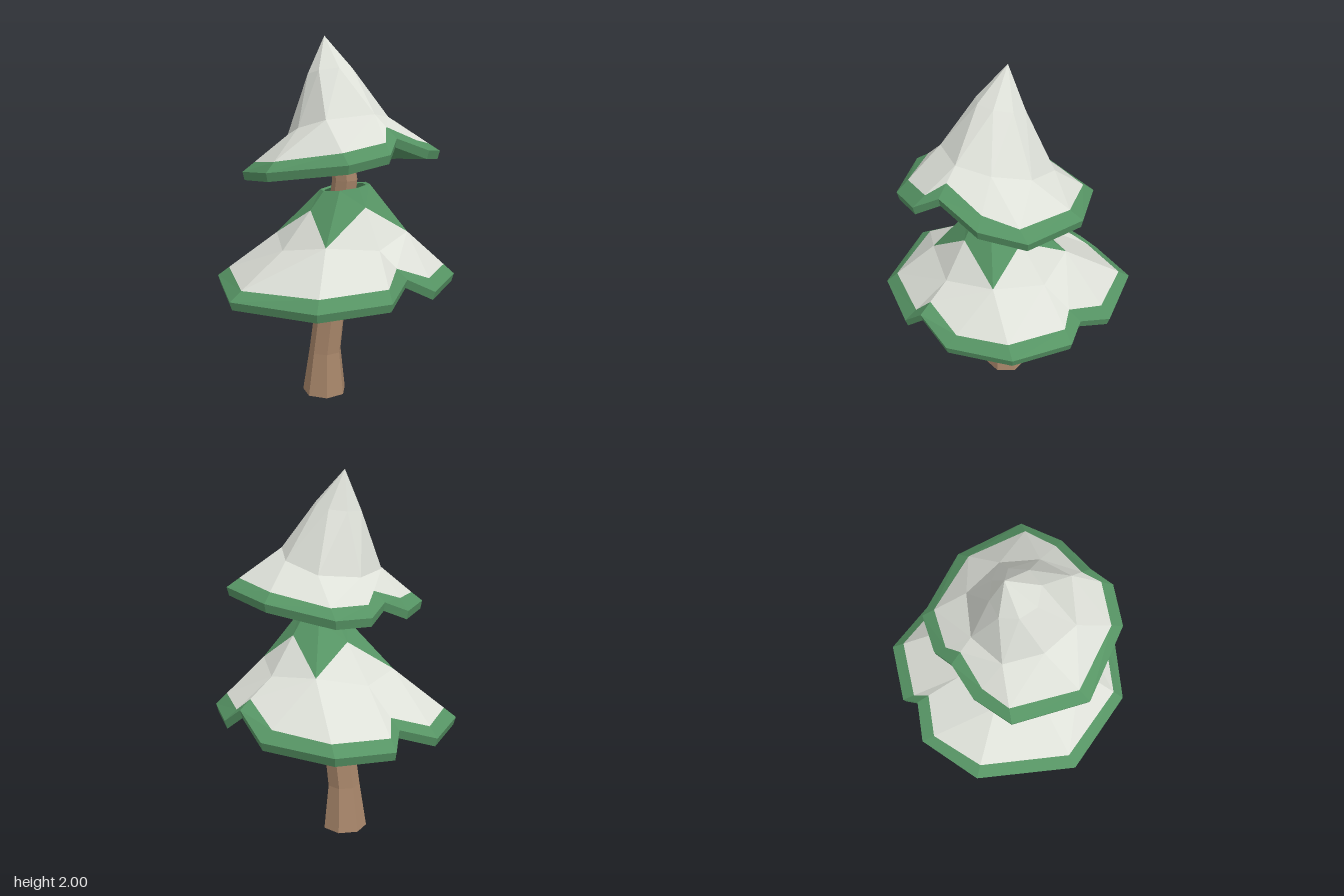
import * as THREE from 'three';

const V = (x, y, z) => new THREE.Vector3(x, y, z);
const mat = (name, color) => {
  const m = new THREE.MeshStandardMaterial({ color, flatShading: true });
  m.name = name;
  return m;
};

// Collects triangles, skipping collapsed ones
function triangles() {
  const pos = [];
  const tri = (a, b, c) => {
    const n = b.clone().sub(a).cross(c.clone().sub(a));
    if (n.length() < 1e-7) return;
    for (const p of [a, b, c]) pos.push(p.x, p.y, p.z);
  };
  // Closed strip between a lower/outer loop and an upper/inner loop
  const band = (lo, hi) => {
    for (let i = 0; i < lo.length; i++) {
      const j = (i + 1) % lo.length;
      tri(lo[j], lo[i], hi[i]);
      tri(lo[j], hi[i], hi[j]);
    }
  };
  const mesh = (name, material) => {
    const g = new THREE.BufferGeometry();
    g.setAttribute('position', new THREE.Float32BufferAttribute(pos, 3));
    g.computeVertexNormals();
    const m = new THREE.Mesh(g, material);
    m.name = name;
    return m;
  };
  return { tri, band, mesh };
}

// Eight-sided ring
function ring(cx, cz, r, yAt) {
  return Array.from({ length: 8 }, (_, i) => {
    const a = i * Math.PI / 4;
    const x = cx + r * Math.cos(a), z = cz + r * Math.sin(a);
    return V(x, yAt(x, z, i), z);
  });
}

// Skirt of a tier: snow, green border, edge wall and hollow underside.
// rim rows are x, y, z and the index of the mid-ring corner they hang from.
function skirt(rim, mid, inner, snow, green) {
  const edge = rim.map(p => V(p[0], p[1], p[2]));
  const anchor = rim.map(p => mid[p[3]]);
  const snowLine = edge.map((p, i) => p.clone().lerp(anchor[i], 0.085 / p.distanceTo(anchor[i])));
  const under = edge.map(p => V(p.x * 0.98, p.y - 0.045, p.z * 0.98));
  const shell = mid.map(p => V(p.x * 0.9, p.y - 0.06, p.z * 0.9));
  snow.band(snowLine, anchor);
  green.band(edge, snowLine);
  green.band(under, edge);
  green.band(rim.map(p => shell[p[3]]), under);
  green.band(inner, shell);
}

function lowerTier(snowMat, greenMat) {
  const snow = triangles(), green = triangles();
  const rim = [
    [0.66, 0.725, 0.09, 0], [0.55, 0.72, 0.40, 1], [0.255, 0.715, 0.595, 1],
    [0.06, 0.815, 0.61, 2], [-0.05, 0.715, 0.64, 2], [-0.41, 0.69, 0.52, 3],
    [-0.665, 0.68, 0.09, 4], [-0.49, 0.665, -0.44, 5], [-0.165, 0.665, -0.64, 5],
    [0.04, 0.735, -0.58, 6], [0.115, 0.655, -0.65, 6], [0.44, 0.675, -0.585, 7],
    [0.63, 0.69, -0.225, 7], [0.62, 0.80, -0.005, 0],
  ];
  const mid = ring(0.03, 0.05, 0.365, (x, z, i) => (i % 2 ? 0.95 : 0.91) + 0.05 * x + 0.03 * z);
  const top = ring(0.03, 0.09, 0.135, (x, z) => 1.21 + 0.1 * (x + z - 0.12));
  const lip = top.map(p => V(0.03 + (p.x - 0.03) * 0.85, p.y - 0.005, 0.09 + (p.z - 0.09) * 0.85));
  skirt(rim, mid, lip, snow, green);
  green.band(top, lip);
  // Snow climbs to a point on every second ridge, green fills the rest
  for (let i = 0; i < 8; i += 2) {
    const peak = mid[i].clone().lerp(top[i], 0.68);
    const n = (i + 1) % 8, p = (i + 7) % 8;
    snow.tri(mid[n], mid[i], peak);
    snow.tri(mid[i], mid[p], peak);
    green.tri(mid[n], peak, top[n]);
    green.tri(top[n], peak, top[i]);
    green.tri(peak, mid[p], top[p]);
    green.tri(peak, top[p], top[i]);
  }
  const g = new THREE.Group();
  g.name = 'lowerTier';
  g.add(snow.mesh('lowerSnow', snowMat), green.mesh('lowerFoliage', greenMat));
  return g;
}

function upperTier(snowMat, greenMat) {
  const snow = triangles(), green = triangles();
  const rim = [
    [0.52, 1.39, 0.285, 1], [0.325, 1.42, 0.43, 1], [0.085, 1.50, 0.47, 2],
    [-0.015, 1.435, 0.555, 2], [-0.225, 1.395, 0.51, 3], [-0.50, 1.34, 0.195, 4],
    [-0.435, 1.29, -0.20, 5], [-0.23, 1.27, -0.32, 5], [-0.04, 1.34, -0.355, 6],
    [0.08, 1.28, -0.405, 6], [0.29, 1.285, -0.385, 7], [0.51, 1.35, -0.085, 0],
  ];
  const mid = [
    [0.29, 0.06], [0.20, 0.24], [0.045, 0.335], [-0.19, 0.25],
    [-0.24, 0.06], [-0.19, -0.14], [0.01, -0.22], [0.23, -0.15],
  ].map(([x, z]) => V(x, 1.535 + 0.28 * (z - 0.06), z));
  const high = [
    [0.115, 0.03], [0.06, 0.11], [-0.035, 0.13], [-0.12, 0.07],
    [-0.13, -0.025], [-0.08, -0.105], [0.015, -0.11], [0.10, -0.06],
  ].map(([x, z]) => V(x, 1.81 + 0.22 * z, z));
  const apex = Array(8).fill(V(-0.015, 2, -0.045));
  skirt(rim, mid, Array(8).fill(V(0, 1.72, 0.03)), snow, green);
  snow.band(mid, high);
  snow.band(high, apex);
  const g = new THREE.Group();
  g.name = 'upperTier';
  g.add(snow.mesh('upperSnow', snowMat), green.mesh('upperFoliage', greenMat));
  return g;
}

// Bent, tapering seven-sided trunk: x, y, z and radius of each section
function trunk(material) {
  const t = triangles();
  const loops = [
    [-0.02, 0, -0.04, 0.125], [-0.02, 0.25, -0.03, 0.092], [0.025, 0.8, 0.015, 0.082],
    [0.025, 1.25, 0.10, 0.07], [0.0, 1.45, 0.095, 0.062], [0.0, 1.65, 0.05, 0.04],
  ].map(([x, y, z, r]) => Array.from({ length: 7 }, (_, i) => {
    const a = (i + 0.25) * 2 * Math.PI / 7;
    return V(x + r * Math.cos(a), y, z + r * Math.sin(a));
  }));
  for (let i = 0; i + 1 < loops.length; i++) t.band(loops[i], loops[i + 1]);
  t.band(Array(7).fill(V(-0.02, 0, -0.04)), loops[0]);
  return t.mesh('trunk', material);
}

export function createModel() {
  const snow = mat('snow', 0xdde0d8);
  const green = mat('foliage green', 0x569464);
  const bark = mat('bark brown', 0xa8866a);
  const tree = new THREE.Group();
  tree.name = 'snowyTree';
  tree.add(trunk(bark), lowerTier(snow, green), upperTier(snow, green));
  return tree;
}
